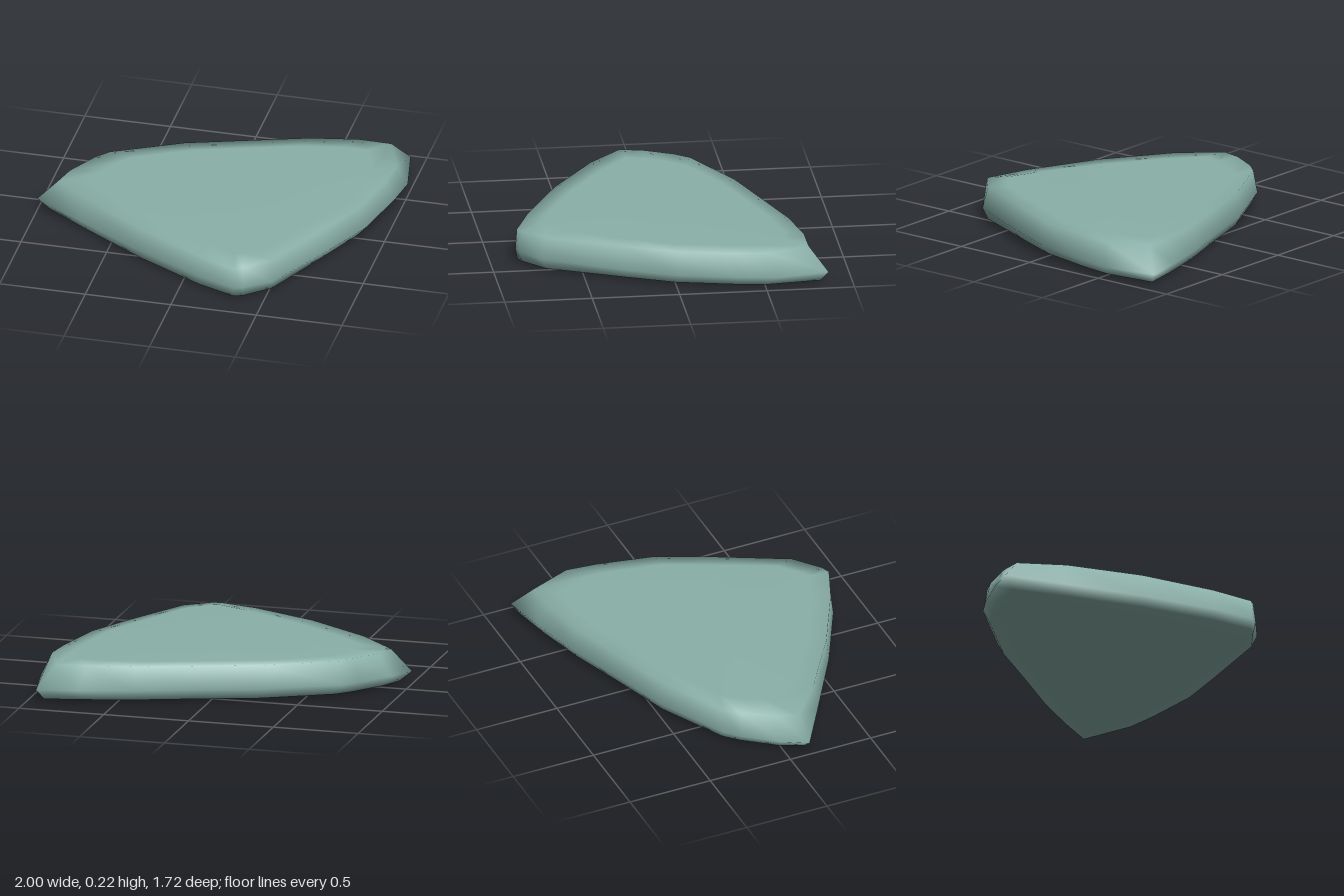
import * as THREE from 'three';

// Widest outline of the stone: x, z, top rim scale, top rim height, bottom rim scale
const OUTLINE = [
  [-1, 0.12, 0.9, 0.2, 0.94], [-0.92, -0.02, 0.93, 0.205, 0.95], [-0.78, -0.2, 0.96, 0.21, 0.95],
  [-0.7, -0.28, 0.97, 0.21, 0.95], [-0.3, -0.49, 0.97, 0.21, 0.95], [0.06, -0.61, 0.97, 0.21, 0.95],
  [0.4, -0.73, 0.96, 0.21, 0.95], [0.7, -0.81, 0.93, 0.21, 0.95], [0.94, -0.86, 0.88, 0.205, 0.95],
  [1, -0.55, 0.93, 0.205, 0.92], [0.97, -0.35, 0.94, 0.205, 0.92], [0.89, 0, 0.95, 0.205, 0.92],
  [0.75, 0.3, 0.95, 0.205, 0.93], [0.53, 0.73, 0.96, 0.2, 0.96], [0.38, 0.84, 0.98, 0.195, 0.98],
  [0.33, 0.855, 0.99, 0.19, 0.985], [0.1, 0.77, 0.98, 0.2, 0.98], [-0.3, 0.56, 0.98, 0.21, 0.97],
  [-0.7, 0.31, 0.96, 0.21, 0.96],
];
const CENTRE = [0.2, 0];

// Rings from the underside to the top: each gives scale and height at an outline point
const RINGS = [
  () => [0.75, 0.001],
  (p) => [p[4], 0.014],
  () => [1, 0.075],
  (p) => [p[2], p[3]],
  (p) => [p[2] * 0.84, 0.215],
];

function stoneGeometry() {
  const n = OUTLINE.length;
  const pos = [CENTRE[0], 0, CENTRE[1]];
  for (const ring of RINGS) {
    for (const p of OUTLINE) {
      const [s, y] = ring(p);
      pos.push(CENTRE[0] + (p[0] - CENTRE[0]) * s, y, CENTRE[1] + (p[1] - CENTRE[1]) * s);
    }
  }
  pos.push(CENTRE[0], 0.217, CENTRE[1]);

  const top = 1 + RINGS.length * n;
  const at = (r, i) => 1 + r * n + (i % n);
  const index = [];
  for (let i = 0; i < n; i++) {
    index.push(0, at(0, i), at(0, i + 1)); // underside
    for (let r = 0; r < RINGS.length - 1; r++) {
      index.push(at(r, i), at(r + 1, i), at(r + 1, i + 1));
      index.push(at(r, i), at(r + 1, i + 1), at(r, i + 1));
    }
    index.push(at(RINGS.length - 1, i), top, at(RINGS.length - 1, i + 1)); // top face
  }
  const g = new THREE.BufferGeometry();
  g.setAttribute('position', new THREE.Float32BufferAttribute(pos, 3));
  g.setIndex(index);
  g.computeVertexNormals();
  return g;
}

export function createModel() {
  const group = new THREE.Group();
  group.name = 'flatStone';
  const stone = new THREE.MeshStandardMaterial({ color: 0x8ab0a8 });
  stone.name = 'greenGreyStone';
  const slab = new THREE.Mesh(stoneGeometry(), stone);
  slab.name = 'stoneSlab';
  group.add(slab);
  return group;
}
